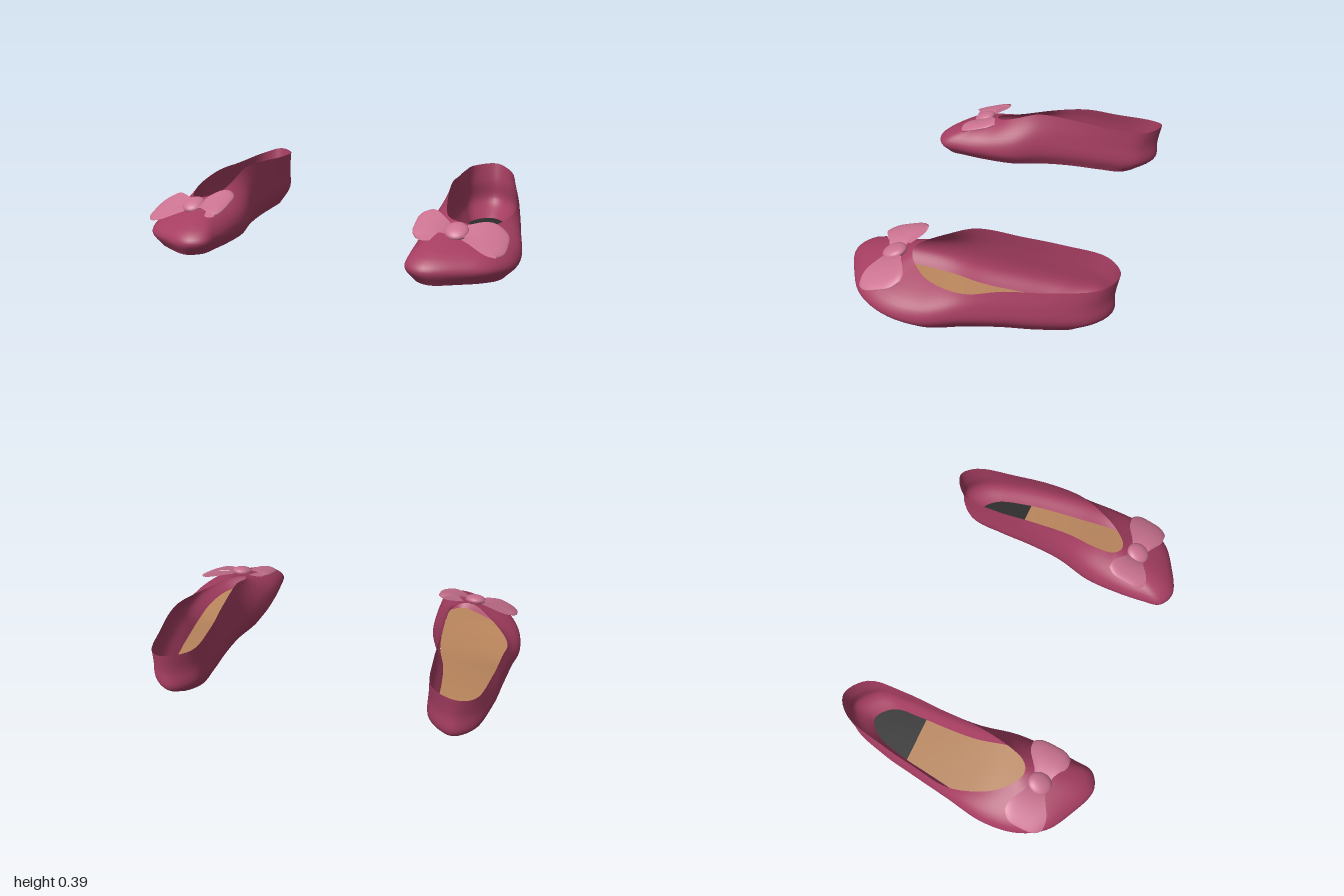
import * as THREE from 'three';

const mat = (name, color) => {
  const m = new THREE.MeshStandardMaterial({ color, side: THREE.DoubleSide });
  m.name = name;
  return m;
};
const V = (p) => new THREE.Vector3(...p);
const { lerp, smoothstep } = THREE.MathUtils;

// Stations around the shoe, heel centre -> outer side -> toe -> inner side:
// widest outline x, z, then the rim of the opening x, y, z.
const STATIONS = [
  [.715, -.672, .715, .36, -.692],
  [.82, -.60, .805, .335, -.63],
  [.89, -.40, .868, .31, -.40],
  [.927, -.20, .902, .30, -.20],
  [.96, 0, .922, .255, 0],
  [.995, .21, .85, .235, .20],
  [.975, .40, .78, .25, .285],
  [.90, .54, .74, .265, .315],
  [.785, .62, .715, .272, .325],
  [.615, .69, .695, .277, .327],
  [.525, .645, .675, .28, .322],
  [.507, .54, .655, .284, .308],
  [.50, .40, .635, .292, .28],
  [.507, .20, .612, .328, .19],
  [.557, 0, .597, .388, .03],
  [.573, -.20, .59, .38, -.20],
  [.577, -.40, .58, .365, -.40],
  [.598, -.58, .60, .357, -.61],
];
const COUNT = STATIONS.length;

// Underside height: dips and tilts outward under the ball of the foot
const ground = (x, z) => {
  const dip = Math.exp(-(((z - .22) / .25) ** 2));
  return .053 - dip * (.031 + .09 * (x - .72));
};

// Four points up the wall at a station: sole edge, widest line, shoulder, rim
function wall([wx, wz, ...rim]) {
  const front = smoothstep(wz, -.1, .55);
  const sx = lerp(wx, .72, lerp(.25, .2, front)), sz = wz * (wz > 0 ? .94 : .845);
  const y = ground(sx, sz);
  const sole = V([sx, y, sz]), top = V(rim);
  const wide = V([wx, y + lerp(.088, .07, front), wz]);
  const shoulder = wide.clone().lerp(top, .14);
  shoulder.y = lerp(wide.y, top.y, lerp(.5, .36, front));
  return [sole, wide, shoulder, top];
}
const WALLS = STATIONS.map(wall);
const LOOPS = [0, 1, 2, 3].map(
  (k) => new THREE.CatmullRomCurve3(WALLS.map((w) => w[k]), true, 'centripetal'));

// Smooth surface from a grid of points; sgn = -1 mirrors it across x.
function grid(nu, nv, closedU, sgn, point) {
  const pos = [], index = [];
  const cols = closedU ? nu : nu + 1;
  for (let i = 0; i < cols; i++) {
    for (let j = 0; j <= nv; j++) {
      const p = point(i / nu, j / nv);
      pos.push(p.x * sgn, p.y, p.z);
    }
  }
  for (let i = 0; i < nu; i++) {
    for (let j = 0; j < nv; j++) {
      const a = i * (nv + 1) + j, b = ((i + 1) % cols) * (nv + 1) + j;
      if (sgn > 0) index.push(a, a + 1, b, b, a + 1, b + 1);
      else index.push(a, b, a + 1, b, b + 1, a + 1);
    }
  }
  const g = new THREE.BufferGeometry();
  g.setAttribute('position', new THREE.Float32BufferAttribute(pos, 3));
  g.setIndex(index);
  g.computeVertexNormals();
  return g;
}

// Sole sheet between two station numbers, spanning outer to inner edge
const soleStrip = (from, to, sgn) => grid(36, 8, false, sgn, (u, v) => {
  const t = lerp(from, to, u) / COUNT;
  return LOOPS[0].getPoint(t).lerp(LOOPS[0].getPoint(1 - t), v);
});

// Hollow ribbon loop of the bow, running from the knot out to a rounded tip and back
function bowWing(base, tip, sgn) {
  const across = new THREE.Vector3(0, -.31, .95);
  return grid(32, 14, true, sgn, (u, v) => {
    const a = u * Math.PI * 2, w = v * 2 - 1;
    const s = (1 - Math.cos(a)) / 2;
    const half = lerp(.05, .112, smoothstep(s, 0, .8));
    const p = V(base).lerp(V(tip), s * (1 - .17 * w ** 4));
    p.addScaledVector(across, w * half);
    p.y += Math.sin(a) * .017 + .04 * s * (1 - s);
    return p;
  });
}

export function createModel() {
  const leather = mat('burgundy leather', 0xa63e62);
  const tan = mat('tan sole', 0xba865d);
  const black = mat('black heel pad', 0x2b2b2b);
  const ribbon = mat('pink ribbon', 0xcb7391);

  const model = new THREE.Group();
  model.name = 'pairOfFlats';

  for (const [side, sgn] of [['left', 1], ['right', -1]]) {
    const shoe = new THREE.Group();
    shoe.name = side + 'Shoe';
    const add = (name, geometry, material) => {
      const m = new THREE.Mesh(geometry, material);
      m.name = name;
      shoe.add(m);
      return m;
    };

    // Upper: skin from the sole edge up to the opening
    const nu = COUNT * 6;
    const profiles = Array.from({ length: nu }, (_, i) =>
      new THREE.CatmullRomCurve3(LOOPS.map((l) => l.getPoint(i / nu)), false, 'centripetal'));
    add('upper', grid(nu, 18, true, sgn, (u, v) => profiles[Math.round(u * nu)].getPoint(v)), leather);

    // Sole and heel pad
    add('sole', soleStrip(2.22, 9, sgn), tan);
    add('heelPad', soleStrip(0, 2.22, sgn), black);

    // Bow
    add('bowInnerWing', bowWing([.68, .25, .42], [.506, .272, .412], sgn), ribbon);
    add('bowOuterWing', bowWing([.74, .248, .42], [.957, .205, .415], sgn), ribbon);
    const knot = add('bowKnot', new THREE.SphereGeometry(1, 24, 16), ribbon);
    knot.scale.set(.058, .028, .066);
    knot.position.set(.712 * sgn, .254, .42);
    knot.rotation.x = .34;

    model.add(shoe);
  }
  return model;
}
